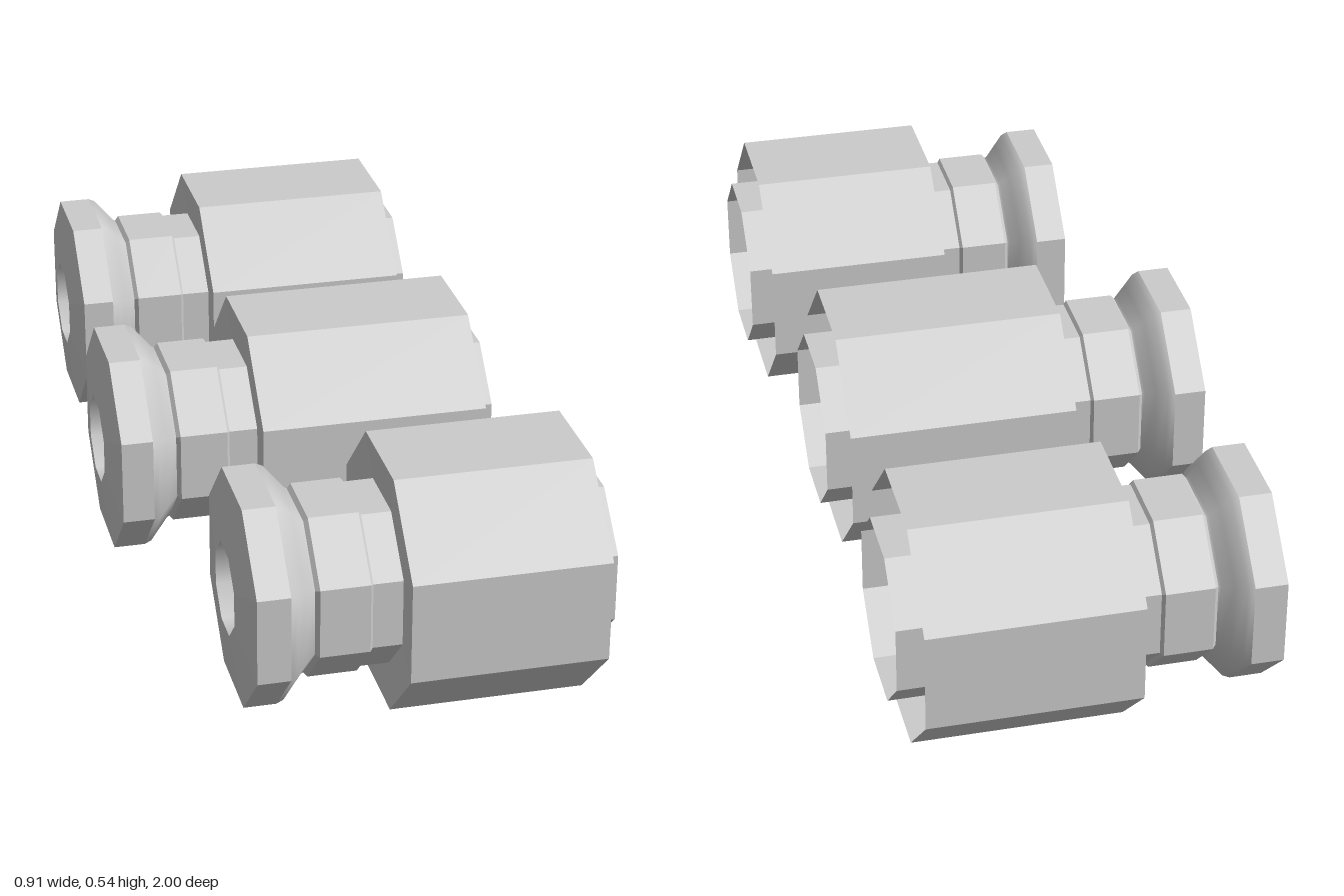
import * as THREE from 'three';

const flat = new THREE.MeshStandardMaterial({ color: 0xcccccc, flatShading: true, side: THREE.DoubleSide });
const smooth = new THREE.MeshStandardMaterial({ color: 0xcccccc, side: THREE.DoubleSide });
const K = 1 / Math.cos(Math.PI / 8); // flat-to-flat radius -> corner radius

// Eight-sided turned part along x; profile is [x, flat radius] pairs
function turned(name, profile, material = flat) {
  const pts = profile.map(([x, r]) => new THREE.Vector2(r * K, x));
  const geo = new THREE.LatheGeometry(pts, 8, Math.PI / 8);
  geo.rotateZ(-Math.PI / 2);
  const mesh = new THREE.Mesh(geo, material);
  mesh.name = name;
  return mesh;
}

// One fitting; x = 0 is the rear wall of its sleeve
function fitting(length) {
  const g = new THREE.Group();
  g.add(
    // open-fronted outer shell with a rear wall
    turned('sleeve', [[0.006, 0.177], [0, 0.266], [length, 0.266]]),
    // thin tube running through the sleeve, closed at its rear
    turned('innerTube', [[-0.06, 0], [-0.06, 0.176], [length + 0.04, 0.178]]),
    // raised ring with small chamfers
    turned('collar', [[-0.175, 0.174], [-0.166, 0.184], [-0.062, 0.184], [-0.055, 0.175]]),
    // flared neck between collar and flange
    turned('flare', [[-0.235, 0.228], [-0.22, 0.222], [-0.2, 0.2], [-0.18, 0.178], [-0.173, 0.174]], smooth),
    // end flange with a slightly domed face
    turned('flange', [[-0.32, 0.09], [-0.304, 0.228], [-0.235, 0.228]]),
    // blind bore in the flange
    turned('bore', [[-0.32, 0.09], [-0.07, 0.085], [-0.07, 0]], smooth)
  );
  return g;
}

export function createModel() {
  const model = new THREE.Group();
  // name, sleeve length, x, y, z
  const row = [
    ['frontFitting', 0.413, 0, 0.271, 0.734],
    ['middleFitting', 0.5, -0.135, 0.267, 0.005],
    ['backFitting', 0.45, -0.09, 0.268, -0.734],
  ];
  for (const [name, length, x, y, z] of row) {
    const f = fitting(length);
    f.name = name;
    f.position.set(x, y, z);
    model.add(f);
  }
  return model;
}
